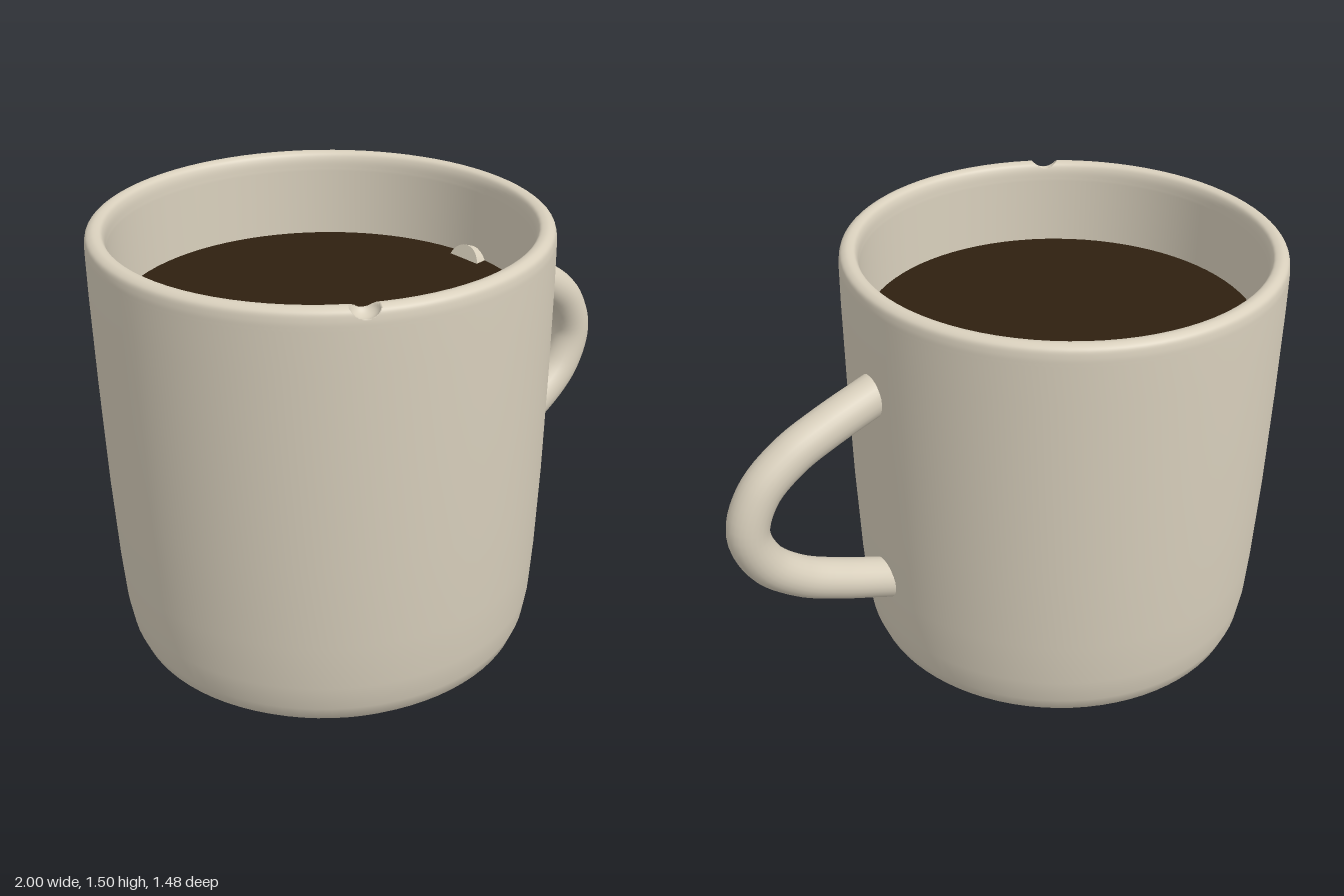
import * as THREE from 'three';

const CENTER_X = -0.265;
const RIM_Y = 1.495;

// Cross-section of the wall: base, outer wall, rounded rim, inner wall, floor
function mugProfile() {
  const outer = [
    [0, 0], [0.3, 0.002], [0.5, 0.01], [0.59, 0.018], [0.635, 0.032], [0.668, 0.06],
    [0.688, 0.11], [0.703, 0.2], [0.714, 0.36], [0.726, 0.65], [0.734, 1.0], [0.738, 1.3], [0.738, 1.43],
  ];
  const rim = new THREE.CatmullRomCurve3([
    [0.738, 1.43], [0.737, 1.46], [0.731, 1.483], [0.715, 1.494], [0.7, 1.495], [0.685, 1.489],
    [0.676, 1.47], [0.672, 1.43],
  ].map(([r, y]) => new THREE.Vector3(r, y, 0))).getPoints(36);
  const inner = [[0.669, 1.2], [0.66, 0.6], [0.64, 0.18], [0.58, 0.09], [0, 0.08]];
  return [
    ...outer.slice(0, -1).map(([r, y]) => new THREE.Vector2(r, y)),
    ...rim.map((p) => new THREE.Vector2(p.x, p.y)),
    ...inner.map(([r, y]) => new THREE.Vector2(r, y)),
  ];
}

// Press a shallow scoop into the rim around the given angle
function scoopRim(geometry, phi) {
  const pos = geometry.attributes.position;
  const normal = geometry.attributes.normal;
  const smooth = normal.clone();
  const moved = [];
  const sin = Math.sin(phi), cos = Math.cos(phi);
  for (let i = 0; i < pos.count; i++) {
    const x = pos.getX(i), z = pos.getZ(i);
    const radial = (x * sin + z * cos - 0.714) / 0.04;
    const along = (x * cos - z * sin) / 0.045;
    const d = 1 - radial * radial - along * along;
    if (d <= 0) continue;
    const floor = RIM_Y - 0.04 * Math.sqrt(d);
    if (pos.getY(i) > floor) {
      pos.setY(i, floor);
      moved.push(i);
    }
  }
  geometry.computeVertexNormals();
  const fresh = geometry.attributes.normal;
  for (const i of moved) smooth.setXYZ(i, fresh.getX(i), fresh.getY(i), fresh.getZ(i));
  geometry.setAttribute('normal', smooth);
  return geometry;
}

export function createModel() {
  const model = new THREE.Group();
  model.name = 'mug';

  const ceramic = new THREE.MeshStandardMaterial({ color: 0xd8cfbc });
  ceramic.name = 'cream ceramic';
  const coffeeMat = new THREE.MeshStandardMaterial({ color: 0x2e2010 });
  coffeeMat.name = 'dark coffee';

  const add = (parent, name, geometry, material) => {
    const mesh = new THREE.Mesh(geometry, material);
    mesh.name = name;
    parent.add(mesh);
    return mesh;
  };

  // Body: one long sweep plus a finely divided slice that holds the rim chip
  const body = new THREE.Group();
  body.name = 'body';
  body.position.x = CENTER_X;
  model.add(body);
  const profile = mugProfile();
  const chipPhi = -0.504, half = 0.08;
  add(body, 'wall', new THREE.LatheGeometry(profile, 80, chipPhi + half, Math.PI * 2 - half * 2), ceramic);
  const slice = new THREE.LatheGeometry(profile, 32, chipPhi - half, half * 2);
  add(body, 'chippedRim', scoopRim(slice, chipPhi), ceramic);

  // Coffee surface
  const coffee = add(body, 'coffee', new THREE.CircleGeometry(0.67, 80), coffeeMat);
  coffee.rotation.x = -Math.PI / 2;
  coffee.position.y = 1.2;

  // Handle: round tube mirrored above and below its middle height
  const handle = new THREE.Group();
  handle.name = 'handle';
  model.add(handle);
  const midY = 0.775, radius = 0.07;
  const upper = [[0.35, 0.405], [0.48, 0.357], [0.63, 0.3], [0.765, 0.235], [0.88, 0.135]];
  const path = new THREE.CatmullRomCurve3([
    ...upper.map(([x, y]) => new THREE.Vector3(x, midY + y, 0)),
    new THREE.Vector3(0.93, midY, 0),
    ...upper.slice().reverse().map(([x, y]) => new THREE.Vector3(x, midY - y, 0)),
  ]);
  add(handle, 'handleTube', new THREE.TubeGeometry(path, 56, radius, 24), ceramic);
  for (const end of [0, 1]) {
    const cap = add(handle, 'handleEnd', new THREE.CircleGeometry(radius, 24), ceramic);
    const point = path.getPointAt(end);
    const outward = path.getTangentAt(end).multiplyScalar(end ? 1 : -1);
    cap.position.copy(point);
    cap.lookAt(point.clone().add(outward));
  }

  return model;
}
